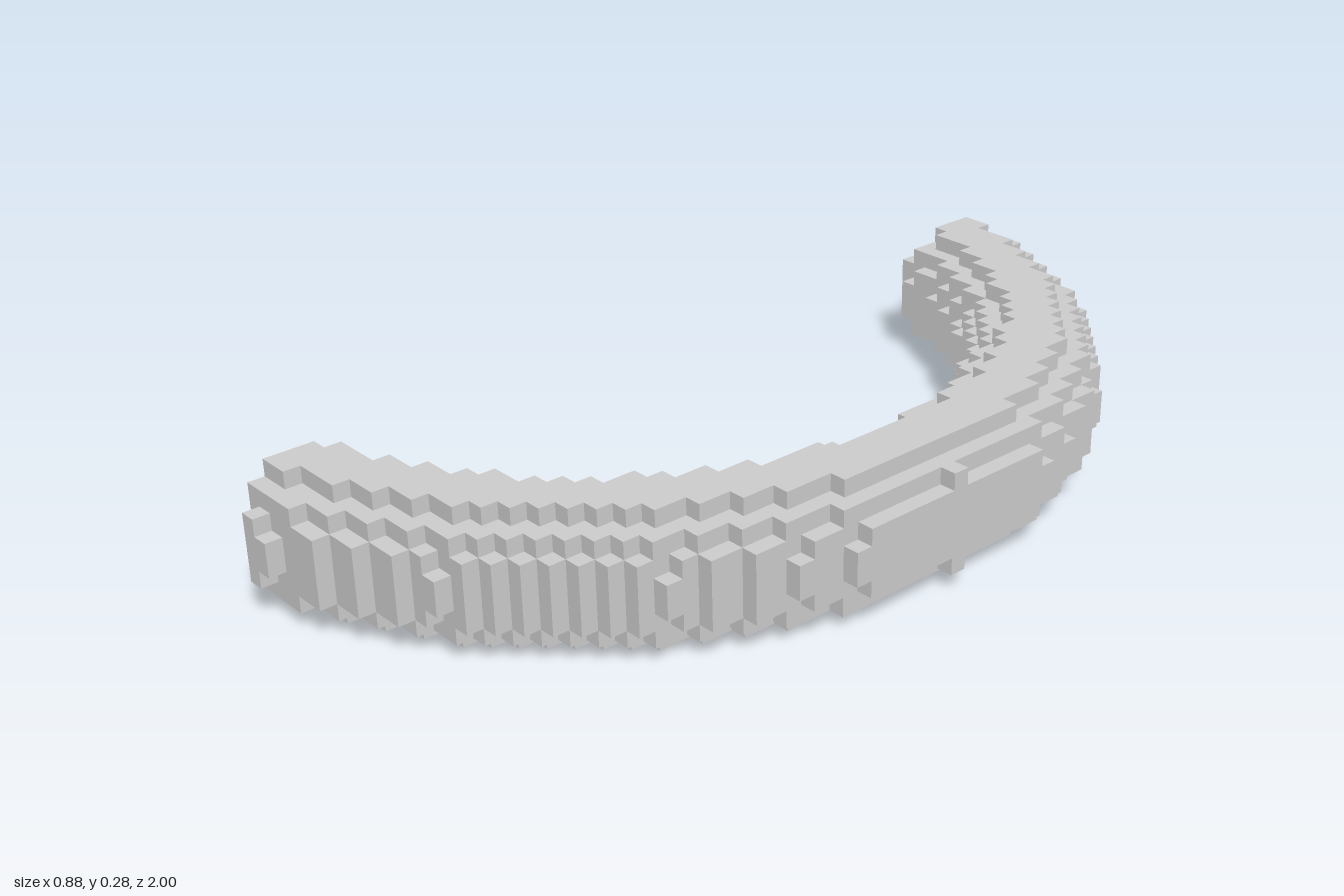
import * as THREE from 'three';
import { mergeGeometries } from 'three/addons/utils/BufferGeometryUtils.js';

// Voxel grid: 25 x 8 x 57 cubes
const NX = 25, NY = 8, NZ = 57;
const S = 2 / NZ;

// Round tube bent along an arc, cut radially at both ends
const CENTRE_X = -0.57, ARC_RADIUS = 0.889, TUBE_RADIUS = 0.135;
const HALF_SWEEP = THREE.MathUtils.degToRad(79.2);

const cellCentre = (i, j, k) => new THREE.Vector3(
  (i - (NX - 1) / 2) * S, (j + 0.5) * S, (k - (NZ - 1) / 2) * S);

function isFilled(i, j, k) {
  if (i < 0 || j < 0 || k < 0 || i >= NX || j >= NY || k >= NZ) return false;
  const p = cellCentre(i, j, k);
  const dx = p.x - CENTRE_X;
  if (Math.abs(Math.atan2(p.z, dx)) > HALF_SWEEP) return false;
  const radial = Math.hypot(dx, p.z) - ARC_RADIUS;
  return Math.hypot(radial, p.y - NY * S / 2) <= TUBE_RADIUS;
}

// One square per cube side, paired with its outward step
function makeSides() {
  const directions = [[1, 0, 0], [-1, 0, 0], [0, 1, 0], [0, -1, 0], [0, 0, 1], [0, 0, -1]];
  const forward = new THREE.Vector3(0, 0, 1);
  return directions.map((step) => {
    const turn = new THREE.Quaternion().setFromUnitVectors(forward, new THREE.Vector3(...step));
    const square = new THREE.PlaneGeometry(S, S).translate(0, 0, S / 2).applyQuaternion(turn);
    return { step, square };
  });
}

// Outer skin of the stepped arc: only sides facing an empty cell
function makeArcGeometry() {
  const sides = makeSides();
  const faces = [];
  for (let i = 0; i < NX; i++) {
    for (let j = 0; j < NY; j++) {
      for (let k = 0; k < NZ; k++) {
        if (!isFilled(i, j, k)) continue;
        const p = cellCentre(i, j, k);
        for (const { step, square } of sides) {
          if (isFilled(i + step[0], j + step[1], k + step[2])) continue;
          faces.push(square.clone().translate(p.x, p.y, p.z));
        }
      }
    }
  }
  return mergeGeometries(faces);
}

export function createModel() {
  const model = new THREE.Group();
  model.name = 'steppedArc';
  const material = new THREE.MeshStandardMaterial({ color: 0xcccccc, flatShading: true });
  const arc = new THREE.Mesh(makeArcGeometry(), material);
  arc.name = 'curvedTube';
  model.add(arc);
  return model;
}
